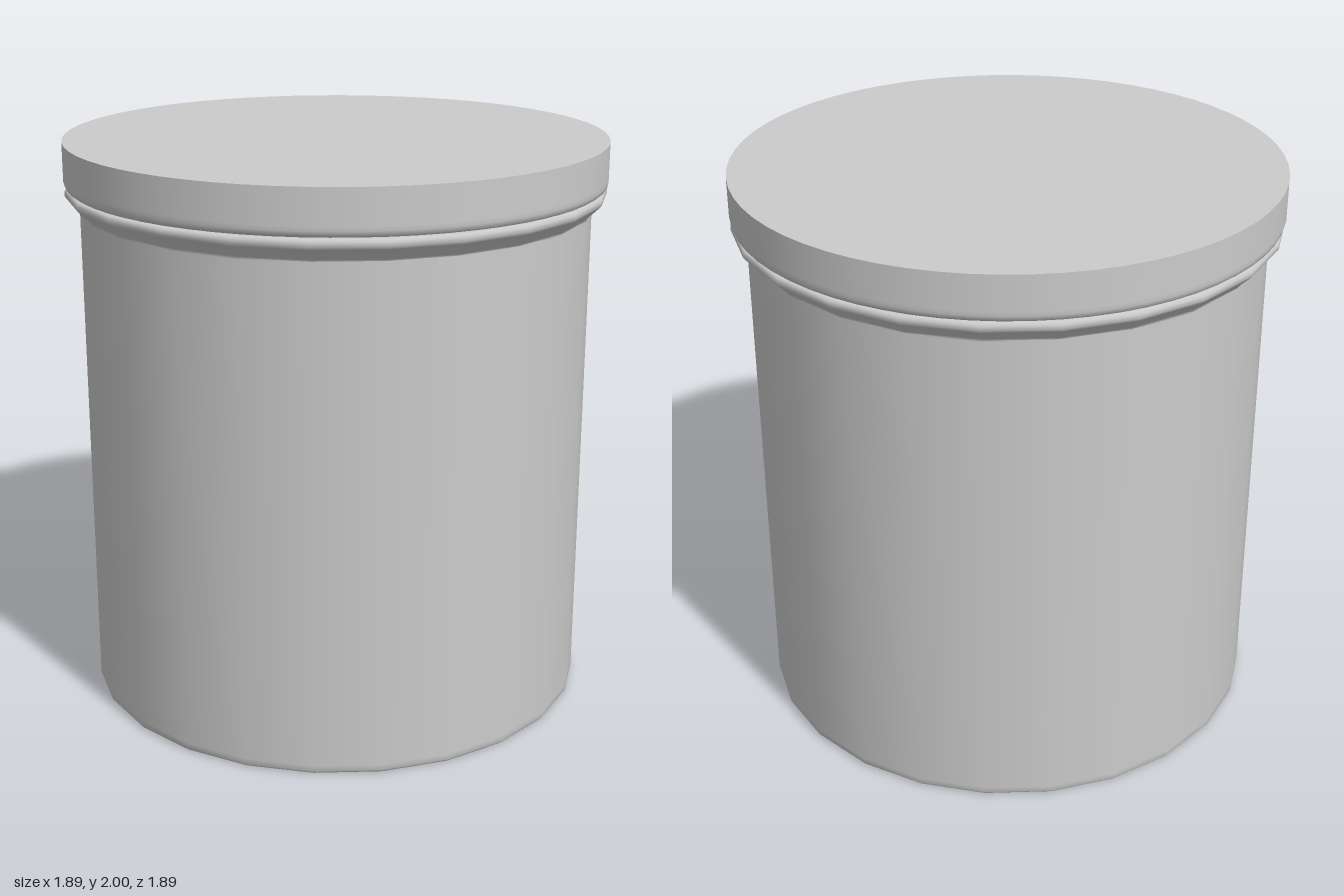
import * as THREE from 'three';

const material = new THREE.MeshStandardMaterial({ color: 0xcccccc });

// Turn a profile of [radius, height] points; a repeated point makes a sharp edge.
function turned(name, profile, sides) {
  const points = profile.map(([r, y]) => new THREE.Vector2(r, y));
  const mesh = new THREE.Mesh(new THREE.LatheGeometry(points, sides), material);
  mesh.name = name;
  return mesh;
}

export function createModel() {
  const group = new THREE.Group();
  group.name = 'liddedJar';

  // Straight body with a closed base
  group.add(turned('body', [
    [0, 0], [0.885, 0], [0.885, 0],
    [0.893, 0.01], [0.893, 0.03], [0.893, 1.76],
  ], 24));

  // Flared rim under the lid, closed on top
  group.add(turned('rim', [
    [0.893, 1.755], [0.893, 1.765], [0.935, 1.805], [0.943, 1.815],
    [0.943, 1.83], [0.935, 1.838], [0.92, 1.838], [0.92, 1.838], [0, 1.838],
  ], 24));

  // Flat lid with a rounded lower edge and a sharp upper edge
  group.add(turned('lid', [
    [0, 1.842], [0.92, 1.842], [0.92, 1.842], [0.932, 1.844], [0.941, 1.851],
    [0.945, 1.865], [0.945, 1.88], [0.945, 2], [0.945, 2], [0, 2],
  ], 64));

  return group;
}
